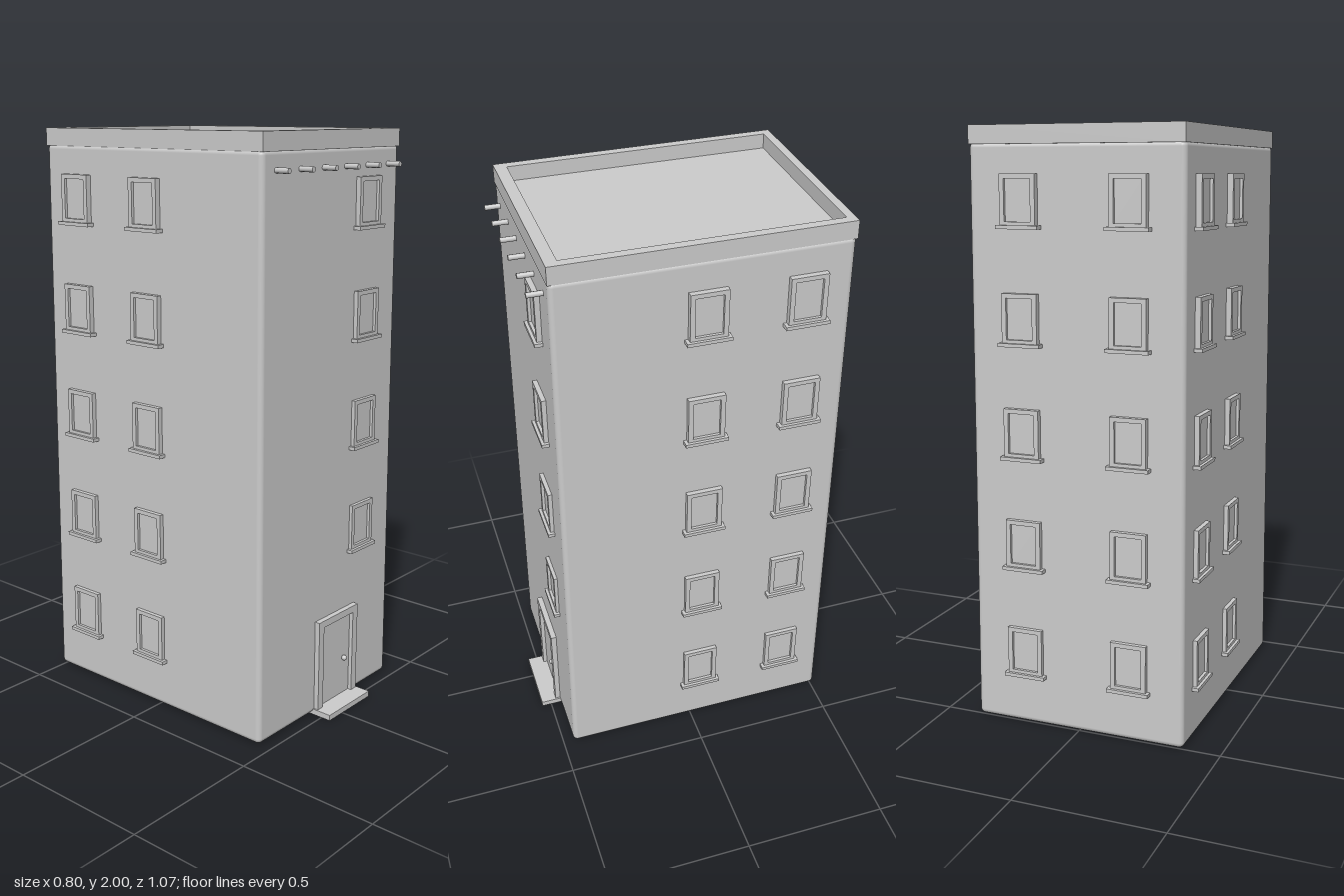
import * as THREE from 'three';
import { RoundedBoxGeometry } from 'three/addons/geometries/RoundedBoxGeometry.js';

const material = new THREE.MeshStandardMaterial({ color: 0xcccccc });

function add(parent, name, geometry, x = 0, y = 0, z = 0) {
  const mesh = new THREE.Mesh(geometry, material);
  mesh.name = name;
  mesh.position.set(x, y, z);
  parent.add(mesh);
  return mesh;
}

const box = (w, h, d) => new THREE.BoxGeometry(w, h, d);

// Rectangular ring in the xy plane, extruded along +z
function ring(w, h, holeW, holeH, depth, holeY = 0) {
  const rect = (path, a, b, cy) => path
    .moveTo(-a / 2, cy - b / 2).lineTo(a / 2, cy - b / 2)
    .lineTo(a / 2, cy + b / 2).lineTo(-a / 2, cy + b / 2).closePath();
  const shape = new THREE.Shape();
  rect(shape, w, h, 0);
  const hole = new THREE.Path();
  rect(hole, holeW, holeH, holeY);
  shape.holes.push(hole);
  return new THREE.ExtrudeGeometry(shape, { depth, bevelEnabled: false });
}

const frameGeometry = ring(0.124, 0.164, 0.092, 0.134, 0.025);
const glassGeometry = box(0.1, 0.14, 0.02);
const sillGeometry = box(0.146, 0.012, 0.036);

// Window on the local plane z = 0, facing +z
function createWindow() {
  const g = new THREE.Group();
  g.name = 'window';
  add(g, 'windowFrame', frameGeometry, 0, 0, -0.01);
  add(g, 'windowGlass', glassGeometry, 0, 0, -0.005);
  add(g, 'windowSill', sillGeometry, 0, -0.084, 0.007);
  return g;
}

export function createModel() {
  const model = new THREE.Group();
  model.name = 'apartmentBuilding';
  const midZ = -0.025;

  // Softly rounded block, tapering slightly towards the roof
  const bodyGeometry = new RoundedBoxGeometry(0.75, 1.942, 0.975, 3, 0.018);
  bodyGeometry.translate(0, 0.976, 0);
  const p = bodyGeometry.attributes.position;
  for (let i = 0; i < p.count; i++) {
    const s = 1 - 0.01 * p.getY(i);
    p.setX(i, p.getX(i) * s);
    p.setZ(i, p.getZ(i) * s);
  }
  add(model, 'walls', bodyGeometry, 0, 0, midZ);

  // Parapet around the flat roof
  const parapet = add(model, 'parapet', ring(0.734, 0.96, 0.671, 0.892, 0.06, 0.006), 0, 1.94, midZ);
  parapet.rotation.x = -Math.PI / 2;
  add(model, 'roof', box(0.69, 0.02, 0.91), 0, 1.94, midZ - 0.006);

  // Window columns: [x, z, turn about y, first floor]
  const columns = [
    [0.184, 0.456, 0, 1],
    [-0.187, -0.511, Math.PI, 0],
    [0.187, -0.511, Math.PI, 0],
  ];
  for (const side of [1, -1]) {
    for (const z of [-0.03, -0.351]) columns.push([side * 0.373, z, side * Math.PI / 2, 0]);
  }
  for (const [x, z, turn, first] of columns) {
    for (let floor = first; floor < 5; floor++) {
      const w = createWindow();
      w.position.set(x, 0.262 + floor * 0.376, z);
      w.rotation.y = turn;
      model.add(w);
    }
  }

  // Entrance: surround, leaf, knob and step
  const door = new THREE.Group();
  door.name = 'entrance';
  door.position.set(0.044, 0, 0.46);
  model.add(door);
  add(door, 'doorFrame', ring(0.228, 0.335, 0.172, 0.31, 0.035, -0.0124), 0, 0.179, -0.015);
  add(door, 'doorLeaf', box(0.18, 0.315, 0.02), 0, 0.167, -0.004);
  add(door, 'doorKnob', new THREE.SphereGeometry(0.01, 12, 8), 0.05, 0.157, 0.012);
  add(door, 'doorStep', box(0.24, 0.02, 0.1), 0, 0.01, 0.025);

  // Row of drain spouts below the parapet
  for (let i = 0; i < 6; i++) {
    const spout = add(model, 'drainSpout', new THREE.CylinderGeometry(0.009, 0.009, 0.07, 8),
      -0.302 + i * 0.1205, 1.884, 0.47);
    spout.rotation.x = Math.PI / 2;
  }
  return model;
}
